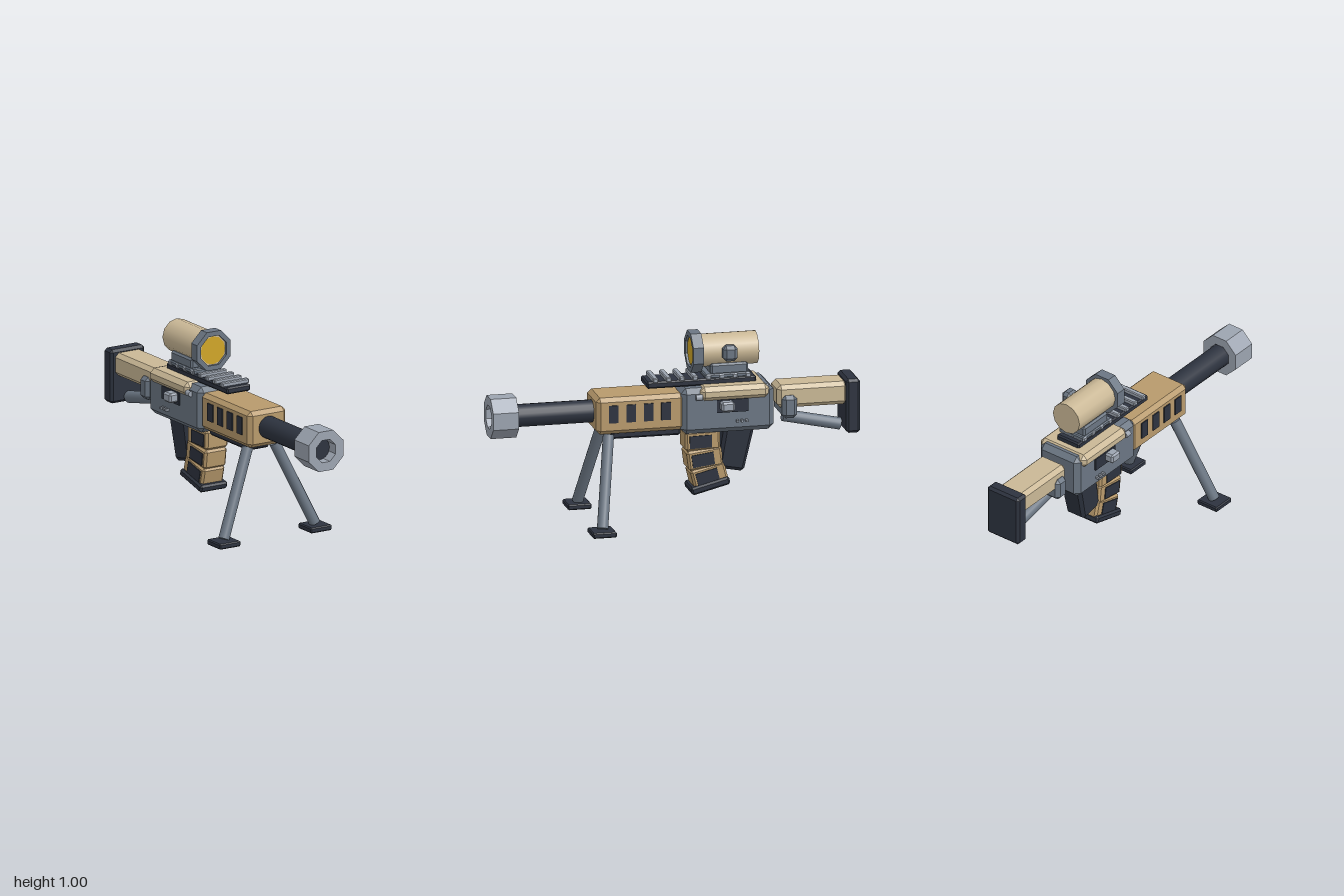
import * as THREE from 'three';
import { ConvexGeometry } from 'three/addons/geometries/ConvexGeometry.js';

const paint = (name, color, flatShading = false) => {
  const m = new THREE.MeshStandardMaterial({ color, flatShading });
  m.name = name;
  return m;
};

export function createModel() {
  const beige = paint('beige', 0xcab896);
  const tan = paint('tan', 0xb89a6c);
  const grey = paint('grey', 0x6b7683);
  const silver = paint('silver', 0x9ca4b0);
  const dark = paint('charcoal', 0x2d333f);
  const amber = paint('amber', 0xcfa528);

  const model = new THREE.Group();
  model.name = 'rifleOnBipod';

  const add = (name, geometry, material, x = 0, y = 0, z = 0, tilt = 0) => {
    const mesh = new THREE.Mesh(geometry, material);
    mesh.name = name;
    mesh.position.set(x, y, z);
    mesh.rotation.x = tilt;
    model.add(mesh);
    return mesh;
  };

  // Box with chamfered edges; taper scales the bottom
  const chamferBox = (w, h, d, c, taper = 1) => {
    const pts = [];
    for (const sx of [-1, 1]) for (const sy of [-1, 1]) for (const sz of [-1, 1]) {
      const k = sy < 0 ? taper : 1;
      for (let i = 0; i < 3; i++) {
        const inset = [c, c, c];
        inset[i] = 0;
        pts.push(new THREE.Vector3(
          sx * (w / 2 - inset[0]) * k, sy * (h / 2 - inset[1]), sz * (d / 2 - inset[2]) * k));
      }
    }
    return new ConvexGeometry(pts);
  };

  // Chamfered block given by its limits in y and z, centred on x
  const block = (name, mat, w, y0, y1, z0, z1, c = 0.01, x = 0) =>
    add(name, chamferBox(w, y1 - y0, z1 - z0, c), mat, x, (y0 + y1) / 2, (z0 + z1) / 2);

  // Round rod between two points
  const rod = (name, mat, a, b, r, sides = 16) => {
    const from = new THREE.Vector3(...a), to = new THREE.Vector3(...b);
    const dir = to.clone().sub(from);
    const mesh = add(name, new THREE.CylinderGeometry(r, r, dir.length(), sides), mat);
    mesh.position.copy(from).add(to).multiplyScalar(0.5);
    mesh.quaternion.setFromUnitVectors(new THREE.Vector3(0, 1, 0), dir.normalize());
    return mesh;
  };

  // Octagonal collar with a bore
  const octagon = (Type, apothem) => {
    const r = apothem / Math.cos(Math.PI / 8), pts = [];
    for (let i = 0; i < 8; i++) {
      const a = Math.PI / 8 + i * Math.PI / 4;
      pts.push(new THREE.Vector2(r * Math.cos(a), r * Math.sin(a)));
    }
    return new Type(pts);
  };
  const collar = (name, mat, outer, inner, y, z0, z1) => {
    const shape = octagon(THREE.Shape, outer);
    shape.holes.push(octagon(THREE.Path, inner));
    add(name, new THREE.ExtrudeGeometry(shape, { depth: z1 - z0, bevelEnabled: false }), mat, 0, y, z0);
  };

  // Barrel and muzzle
  rod('barrel', dark, [0, 0.605, 0.4], [0, 0.605, 0.94], 0.061);
  collar('muzzle', silver, 0.109, 0.061, 0.607, 0.86, 1);

  // Handguard with vents and lower rail
  block('handguard', tan, 0.24, 0.5, 0.7, -0.04, 0.44, 0.022);
  block('lowerRail', dark, 0.14, 0.46, 0.505, -0.03, 0.345);
  for (const s of [-1, 1]) for (let i = 0; i < 4; i++)
    add('vent', new THREE.BoxGeometry(0.008, 0.096, 0.052), dark, s * 0.122, 0.612, 0.348 - i * 0.095);

  // Receiver and top cover
  block('receiver', grey, 0.27, 0.475, 0.725, -0.525, -0.02, 0.028);
  block('topCover', beige, 0.31, 0.655, 0.733, -0.495, -0.12, 0.024);
  for (const s of [-1, 1]) {
    rod('coverPin', silver, [s * 0.142, 0.68, -0.13], [s * 0.142, 0.68, -0.095], 0.016, 8);
    add('ejectionPort', new THREE.BoxGeometry(0.009, 0.07, 0.17), dark, s * 0.138, 0.624, -0.295);
    block('boltHandle', silver, 0.06, 0.602, 0.655, -0.297, -0.225, 0.01, s * 0.16);
    for (let i = 0; i < 3; i++)
      add('gripRib', new THREE.BoxGeometry(0.022, 0.012, 0.012), silver, s * 0.147, 0.54, -0.32 - i * 0.025);
  }

  // Top rail with cross teeth
  block('topRail', dark, 0.15, 0.725, 0.762, -0.44, 0.155, 0.008);
  for (let i = 0; i < 8; i++) {
    const z = 0.11 - i * 0.072;
    block('railTooth', silver, 0.17, 0.758, 0.784, z - 0.015, z + 0.015, 0.005);
  }

  // Scope
  block('scopeClamp', grey, 0.165, 0.762, 0.787, -0.41, -0.16, 0.006);
  block('scopeMount', grey, 0.155, 0.78, 0.84, -0.395, -0.19, 0.01);
  rod('scopeBody', beige, [0, 0.9, -0.452], [0, 0.9, -0.105], 0.09, 12);
  collar('scopeBell', grey, 0.106, 0.08, 0.898, -0.147, -0.09);
  add('lens', new THREE.CircleGeometry(0.077, 12), amber, 0, 0.898, -0.1);
  block('scopeKnob', grey, 0.062, 0.863, 0.948, -0.327, -0.247, 0.018, 0.108);
  block('knobStem', grey, 0.06, 0.885, 0.925, -0.305, -0.268, 0.005, 0.09);

  // Stock
  block('stock', beige, 0.17, 0.573, 0.698, -0.94, -0.553, 0.022);
  block('buttPad', dark, 0.215, 0.42, 0.715, -1, -0.922, 0.014);
  block('stockBracket', grey, 0.215, 0.52, 0.645, -0.658, -0.575, 0.02);
  rod('stockStrut', grey, [0, 0.515, -0.6], [0, 0.448, -0.912], 0.033);

  // Pistol grip
  add('grip', chamferBox(0.14, 0.28, 0.165, 0.018, 0.88), dark, 0, 0.385, -0.332, -0.19);

  // Curved magazine: y, z, tilt of each segment
  const segments = [[0.42, -0.15, 0.02], [0.32, -0.163, 0.13], [0.225, -0.187, 0.25]];
  for (const [y, z, tilt] of segments) {
    add('magazineSegment', chamferBox(0.14, 0.108, 0.19, 0.012), tan, 0, y, z, tilt);
    for (const s of [-1, 1])
      add('magazinePanel', new THREE.BoxGeometry(0.008, 0.068, 0.12), dark, s * 0.071, y - 0.004, z + 0.012, tilt);
  }
  add('magazineBase', chamferBox(0.172, 0.042, 0.215, 0.01), dark, 0, 0.171, -0.19, 0.25);

  // Bipod
  for (const s of [-1, 1]) {
    rod('bipodLeg', grey, [s * 0.085, 0.49, 0.368], [s * 0.287, 0.035, 0.448], 0.03);
    block('bipodFoot', dark, 0.132, 0, 0.03, 0.385, 0.515, 0.006, s * 0.288);
  }

  return model;
}
